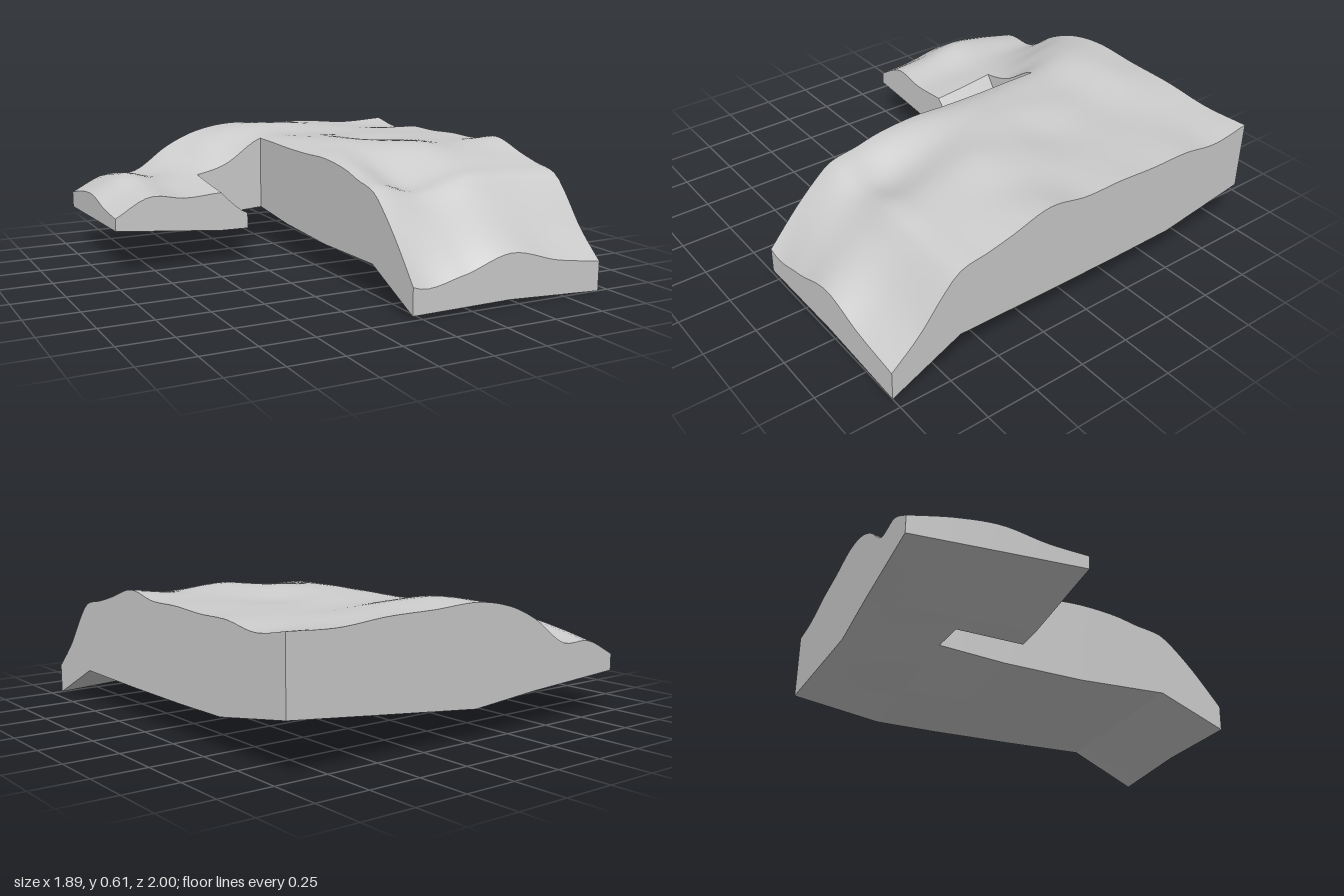
import * as THREE from 'three';

// Terrain height stations: one back-to-front profile per x column
const TOP_Z = [-1, -0.8, -0.6, -0.4, -0.2, 0, 0.2, 0.4, 0.52, 0.66, 0.74, 0.86, 1];
const TOP_X = [-0.95, -0.78, -0.6, -0.42, -0.25, -0.05, 0.2, 0.45, 0.7, 0.945];
const TOP = [
  [0.28, 0.32, 0.335, 0.3, 0.285],
  [0.36, 0.4, 0.425, 0.39, 0.375],
  [0.37, 0.38, 0.39, 0.37, 0.355],
  [0.49, 0.44, 0.41, 0.385, 0.365],
  [0.565, 0.54, 0.47, 0.4, 0.37],
  [0.6, 0.605, 0.575, 0.57, 0.565, 0.565, 0.57, 0.55, 0.52, 0.49, 0.43, 0.31, 0.145],
  [0.59, 0.61, 0.58, 0.59, 0.605, 0.605, 0.57, 0.5, 0.465, 0.455, 0.4, 0.3, 0.165],
  [0.585, 0.585, 0.57, 0.575, 0.57, 0.6, 0.61, 0.56, 0.53, 0.51, 0.43, 0.33, 0.235],
  [0.565, 0.56, 0.57, 0.575, 0.58, 0.585, 0.585, 0.56, 0.535, 0.5, 0.42, 0.29, 0.175],
  [0.575, 0.545, 0.57, 0.57, 0.58, 0.58, 0.61, 0.555, 0.525, 0.495, 0.42, 0.27, 0.14],
];

// Underside heights, one left-to-right row per z station
const BASE_X = [-0.95, -0.41, -0.05, 0.45, 0.945];
const BASE_Z = [-1, -0.54, -0.21, 0.2, 0.66, 1];
const BASE = [
  [0.2, 0.17, 0.14, 0.19, 0.24],
  [0.215, 0.175, 0.2, 0.18, 0.165],
  [0.225, 0.175, 0.17, 0.16, 0.16],
  [0.22, 0.175, 0.155, 0.15, 0.16],
  [0.165, 0.165, 0.165, 0.165, 0.165],
  [0.02, 0.02, 0.02, 0.025, 0],
];

// Interpolates v over stations s, as a smooth curve or as straight pieces
function sample(s, v, x, smooth) {
  const n = v.length;
  x = Math.min(Math.max(x, s[0]), s[n - 1]);
  let i = 0;
  while (i < n - 2 && x > s[i + 1]) i++;
  const h = s[i + 1] - s[i], t = (x - s[i]) / h;
  if (!smooth) return v[i] + (v[i + 1] - v[i]) * t;
  const slope = (k) => {
    const a = Math.max(k - 1, 0), b = Math.min(k + 1, n - 1);
    return (v[b] - v[a]) / (s[b] - s[a]);
  };
  const t2 = t * t, t3 = t2 * t;
  return v[i] * (2 * t3 - 3 * t2 + 1) + v[i + 1] * (3 * t2 - 2 * t3)
    + h * (slope(i) * (t3 - 2 * t2 + t) + slope(i + 1) * (t3 - t2));
}

const terrain = (x, z) => sample(TOP_X, TOP.map((c) => sample(TOP_Z, c, z, true)), x, true);
const base = (x, z) => sample(BASE_Z, BASE.map((r) => sample(BASE_X, r, x, false)), z, false);

// Bank falling from the low plateau towards the notch
function bank(x, z) {
  const t = (x + 0.41) / 0.14;
  return THREE.MathUtils.lerp(terrain(-0.41, z), 0.25, 1 - Math.pow(1 - Math.min(t, 1), 1.3));
}

// Evenly subdivided grid lines that keep every given break
function lines(breaks, step) {
  const out = [breaks[0]];
  for (let i = 1; i < breaks.length; i++) {
    const a = breaks[i - 1], b = breaks[i], n = Math.ceil((b - a) / step);
    for (let k = 1; k <= n; k++) out.push(a + ((b - a) * k) / n);
  }
  return out;
}
const XS = lines([-0.95, -0.41, -0.27, -0.05, 0.45, 0.945], 0.04);
const ZS = lines([-1, -0.54, -0.21, 0.2, 0.66, 1], 0.04);

// 0 = empty, 1 = terrain, 2 = bank
function region(i, j) {
  if (i < 0 || j < 0 || i >= XS.length - 1 || j >= ZS.length - 1) return 0;
  const x = (XS[i] + XS[i + 1]) / 2, z = (ZS[j] + ZS[j + 1]) / 2;
  if (x > -0.05 || z < -0.54) return 1;
  if (z > -0.21 || x > -0.27) return 0;
  return x > -0.41 ? 2 : 1;
}

function eachCell(fn) {
  for (let i = 0; i < XS.length - 1; i++)
    for (let j = 0; j < ZS.length - 1; j++) {
      const r = region(i, j);
      if (r) fn(i, j, r);
    }
}

// Height-field sheet over the cells accepted by the test
function sheet(height, accept, faceUp) {
  const pos = [], index = [];
  const ids = new Map();
  const vert = (i, j) => {
    const key = i * 1000 + j;
    if (!ids.has(key)) {
      ids.set(key, pos.length / 3);
      pos.push(XS[i], height(XS[i], ZS[j]), ZS[j]);
    }
    return ids.get(key);
  };
  eachCell((i, j, r) => {
    if (!accept(r)) return;
    const a = vert(i, j), b = vert(i, j + 1), c = vert(i + 1, j + 1), d = vert(i + 1, j);
    if (faceUp) index.push(a, b, c, a, c, d);
    else index.push(a, c, b, a, d, c);
  });
  const g = new THREE.BufferGeometry();
  g.setAttribute('position', new THREE.Float32BufferAttribute(pos, 3));
  g.setIndex(index);
  g.computeVertexNormals();
  return g;
}

// Vertical cut faces wherever a cell meets empty space or the lower bank
function wallGeometry() {
  const pos = [];
  eachCell((i, j, r) => {
    const top = r === 2 ? bank : terrain;
    const wall = (neighbour, x0, z0, x1, z1) => {
      if (neighbour === r || (r === 2 && neighbour === 1)) return;
      const low = neighbour === 2 ? bank : base;
      const a = [x0, low(x0, z0), z0], b = [x1, low(x1, z1), z1];
      const c = [x1, top(x1, z1), z1], d = [x0, top(x0, z0), z0];
      pos.push(...a, ...b, ...c, ...a, ...c, ...d);
    };
    const x0 = XS[i], x1 = XS[i + 1], z0 = ZS[j], z1 = ZS[j + 1];
    wall(region(i, j + 1), x0, z1, x1, z1);
    wall(region(i, j - 1), x1, z0, x0, z0);
    wall(region(i + 1, j), x1, z1, x1, z0);
    wall(region(i - 1, j), x0, z0, x0, z1);
  });
  const g = new THREE.BufferGeometry();
  g.setAttribute('position', new THREE.Float32BufferAttribute(pos, 3));
  g.computeVertexNormals();
  return g;
}

export function createModel() {
  const group = new THREE.Group();
  group.name = 'terrainBlock';
  const add = (name, geometry, flat = false) => {
    const material = new THREE.MeshStandardMaterial({ color: 0xcccccc, flatShading: flat });
    const mesh = new THREE.Mesh(geometry, material);
    mesh.name = name;
    group.add(mesh);
  };
  add('terrainSurface', sheet(terrain, (r) => r === 1, true));
  add('notchBank', sheet(bank, (r) => r === 2, true));
  add('underside', sheet(base, () => true, false), true);
  add('cutWalls', wallGeometry(), true);
  return group;
}
